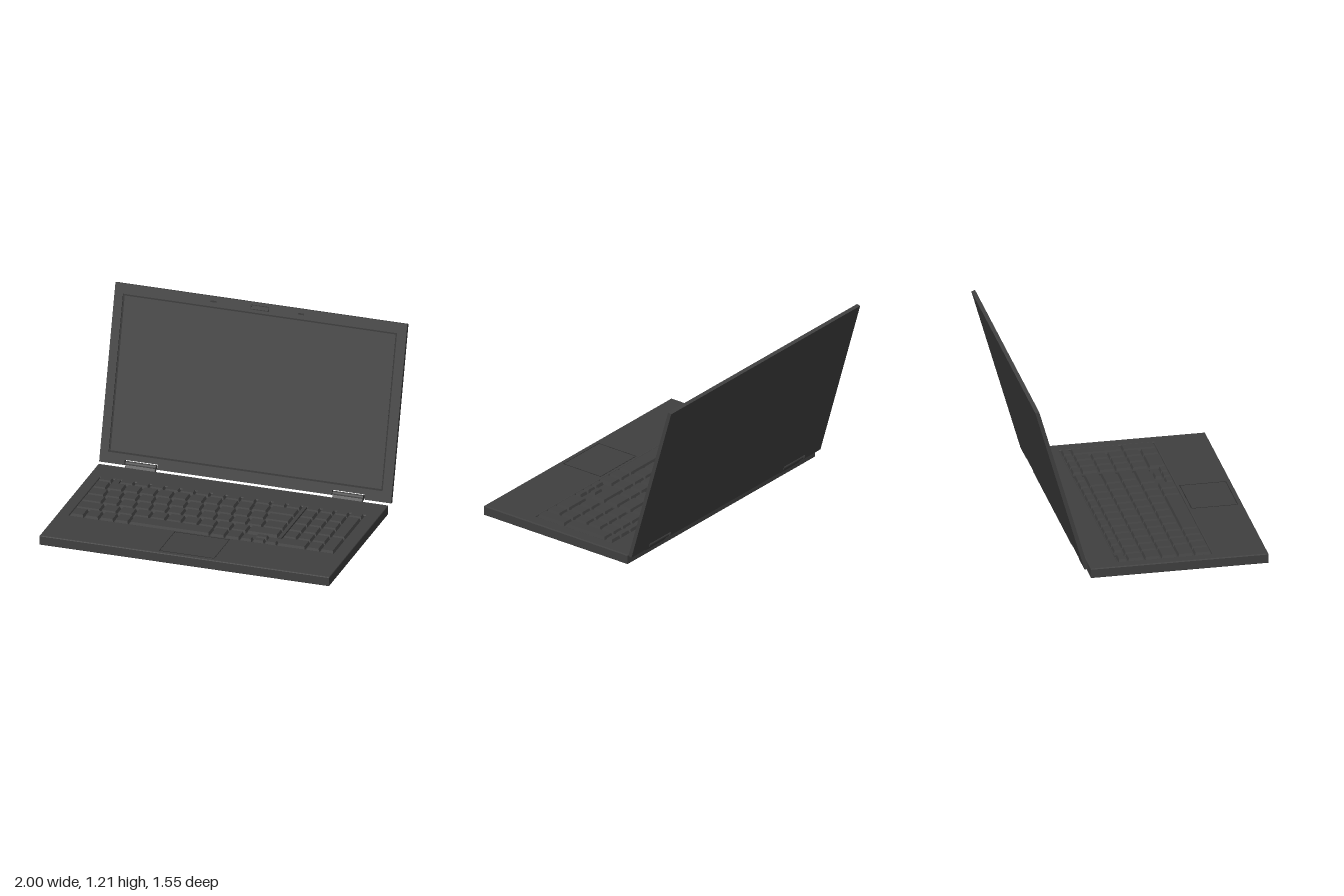
import * as THREE from 'three';
import { RoundedBoxGeometry } from 'three/addons/geometries/RoundedBoxGeometry.js';

const mat = (name, color) => {
  const m = new THREE.MeshStandardMaterial({ color });
  m.name = name;
  return m;
};

export function createModel() {
  const casing = mat('casing charcoal', 0x404040);
  const dark = mat('recess dark grey', 0x2c2c2c);
  const model = new THREE.Group();
  model.name = 'laptop';

  const add = (parent, name, geometry, material, x = 0, y = 0, z = 0) => {
    const mesh = new THREE.Mesh(geometry, material);
    mesh.name = name;
    mesh.position.set(x, y, z);
    parent.add(mesh);
    return mesh;
  };
  // Box given by its limits on each axis
  const box = (parent, name, material, x0, x1, y0, y1, z0, z1) =>
    add(parent, name, new THREE.BoxGeometry(x1 - x0, y1 - y0, z1 - z0), material,
      (x0 + x1) / 2, (y0 + y1) / 2, (z0 + z1) / 2);
  const rect = (Type, x0, x1, y0, y1) => new Type([
    new THREE.Vector2(x0, y0), new THREE.Vector2(x1, y0),
    new THREE.Vector2(x1, y1), new THREE.Vector2(x0, y1)]);
  // Thin rectangular outline lying in the XY plane
  const outline = (x0, x1, y0, y1, w, depth) => {
    const s = rect(THREE.Shape, x0, x1, y0, y1);
    s.holes.push(rect(THREE.Path, x0 + w, x1 - w, y0 + w, y1 - w));
    return new THREE.ExtrudeGeometry(s, { depth, bevelEnabled: false });
  };

  // ---- Base: bevelled slab with a sunken keyboard well ----
  const base = new THREE.Group();
  base.name = 'base';
  model.add(base);
  const H = 0.067, B = 0.006;
  const slab = rect(THREE.Shape, -0.998, 0.987, -0.77, 0.408); // shape y is -z
  slab.holes.push(rect(THREE.Path, -0.922, 0.902, -0.412, 0.215));
  const slabGeo = new THREE.ExtrudeGeometry(slab, {
    depth: H - 2 * B, bevelThickness: B, bevelSize: B, bevelOffset: -B, bevelSegments: 2 });
  slabGeo.rotateX(-Math.PI / 2);
  add(base, 'baseShell', slabGeo, casing, 0, B, 0);
  box(base, 'keyboardTray', casing, -0.93, 0.91, 0, 0.056, -0.223, 0.42);
  box(base, 'keyboardDivider', casing, 0.474, 0.498, 0.05, H, -0.216, 0.295);

  // Touchpad: a flush plate marked by a fine border
  const padBorder = outline(-0.19, 0.19, -0.74, -0.43, 0.005, 0.001);
  padBorder.rotateX(-Math.PI / 2);
  add(base, 'touchpadBorder', padBorder, dark, 0, H, 0);

  // ---- Keys: tapered caps ----
  const keys = new THREE.Group();
  keys.name = 'keyboard';
  base.add(keys);
  const key = (x0, x1, z0, z1) => {
    const w = x1 - x0 - 0.008, d = z1 - z0 - 0.008, h = 0.025;
    const g = new THREE.BoxGeometry(w, h, d), p = g.attributes.position;
    for (let i = 0; i < p.count; i++) {
      if (p.getY(i) > 0) {
        p.setX(i, p.getX(i) * (1 - 0.016 / w));
        p.setZ(i, p.getZ(i) * (1 - 0.014 / d));
      }
    }
    g.computeVertexNormals();
    add(keys, 'key', g, casing, (x0 + x1) / 2, 0.0645, (z0 + z1) / 2);
  };
  const rowZ = [[-0.212, -0.15], [-0.148, -0.038], [-0.036, 0.072],
    [0.074, 0.182], [0.184, 0.292], [0.294, 0.408]];
  const evenly = (x0, x1, n, z) => {
    const s = (x1 - x0) / n;
    for (let i = 0; i < n; i++) key(x0 + i * s, x0 + (i + 1) * s, z[0], z[1]);
  };
  // Top row: one key, a spacer, then twelve short keys
  key(-0.92, -0.82, ...rowZ[0]);
  box(base, 'topRowSpacer', casing, -0.818, -0.777, 0.05, H, -0.216, -0.152);
  evenly(-0.775, 0.472, 12, rowZ[0]);
  // Letter rows: wide key, run of equal keys, wide key
  [[1, -0.82, 0.28, 10], [2, -0.795, 0.3, 10], [3, -0.775, 0.325, 10], [4, -0.745, 0.255, 9]]
    .forEach(([r, a, b, n]) => {
      key(-0.92, a, ...rowZ[r]);
      evenly(a, b, n, rowZ[r]);
      key(b, 0.472, ...rowZ[r]);
    });
  // Bottom row with space bar
  evenly(-0.92, -0.512, 4, rowZ[5]);
  key(-0.512, 0.042, ...rowZ[5]);
  evenly(0.042, 0.248, 2, rowZ[5]);
  // Arrow keys
  key(0.33, 0.42, 0.296, 0.35);
  evenly(0.248, 0.502, 3, [0.352, 0.408]);

  // Number pad, with tall plus and enter keys and a wide zero
  const c = [0.502, 0.602, 0.7, 0.798, 0.895];
  evenly(c[0], c[4], 4, rowZ[0]);
  for (let r = 1; r < 5; r++) evenly(c[0], c[3], 3, rowZ[r]);
  key(c[0], c[2], ...rowZ[5]);
  key(c[2], c[3], ...rowZ[5]);
  key(c[3], c[4], rowZ[1][0], rowZ[3][1]);
  key(c[3], c[4], rowZ[4][0], rowZ[5][1]);

  // ---- Lid, hinged at its lower edge and leaning back ----
  const lid = new THREE.Group();
  lid.name = 'lid';
  lid.position.set(0, 0.07, -0.4375);
  lid.rotation.x = -0.279;
  model.add(lid);
  const L = 1.182, T = 0.013;
  const hinges = [-0.715, 0.705];
  const lidShape = () => {
    const s = new THREE.Shape();
    s.moveTo(-1, 0);
    for (const x of hinges) { // notches around the hinges
      s.lineTo(x - 0.112, 0).lineTo(x - 0.112, 0.034);
      s.lineTo(x + 0.112, 0.034).lineTo(x + 0.112, 0);
    }
    s.lineTo(1, 0).lineTo(1, L).lineTo(-1, L);
    return s;
  };
  add(lid, 'lidBack', new THREE.ExtrudeGeometry(lidShape(), { depth: 0.016, bevelEnabled: false }),
    casing, 0, 0, -T);
  const bezel = lidShape();
  bezel.holes.push(rect(THREE.Path, -0.942, 0.936, 0.072, 1.115));
  add(lid, 'screenBezel', new THREE.ExtrudeGeometry(bezel, { depth: 0.01, bevelEnabled: false }),
    casing, 0, 0, 0.003);
  add(lid, 'screenSeal', outline(-0.942, 0.936, 0.072, 1.115, 0.011, 0.002), dark, 0, 0, 0.003);
  box(lid, 'screen', casing, -0.931, 0.925, 0.083, 1.104, 0.002, 0.006);

  // Webcam frame and two rubber bumpers above the screen
  const cy = 1.149;
  add(lid, 'webcamFrame', outline(-0.07, 0.055, cy - 0.016, cy + 0.016, 0.004, 0.002), dark, 0, 0, T);
  for (const x of [-0.325, 0.275])
    box(lid, 'bumper', dark, x - 0.021, x + 0.021, cy - 0.005, cy + 0.005, T, T + 0.003);

  // ---- Hinges: barrel plus a slanted arm reaching the base ----
  for (const x of hinges) {
    const hinge = new THREE.Group();
    hinge.name = 'hinge';
    hinge.position.set(x, 0, 0);
    model.add(hinge);
    const barrel = new THREE.CylinderGeometry(0.017, 0.017, 0.208, 20);
    barrel.rotateZ(Math.PI / 2);
    add(hinge, 'hingeBarrel', barrel, casing, 0, 0.082, -0.436);
    const arm = add(hinge, 'hingeArm', new RoundedBoxGeometry(0.208, 0.07, 0.024, 2, 0.006),
      casing, 0, 0.062, -0.421);
    arm.rotation.x = -0.64;
  }
  return model;
}
